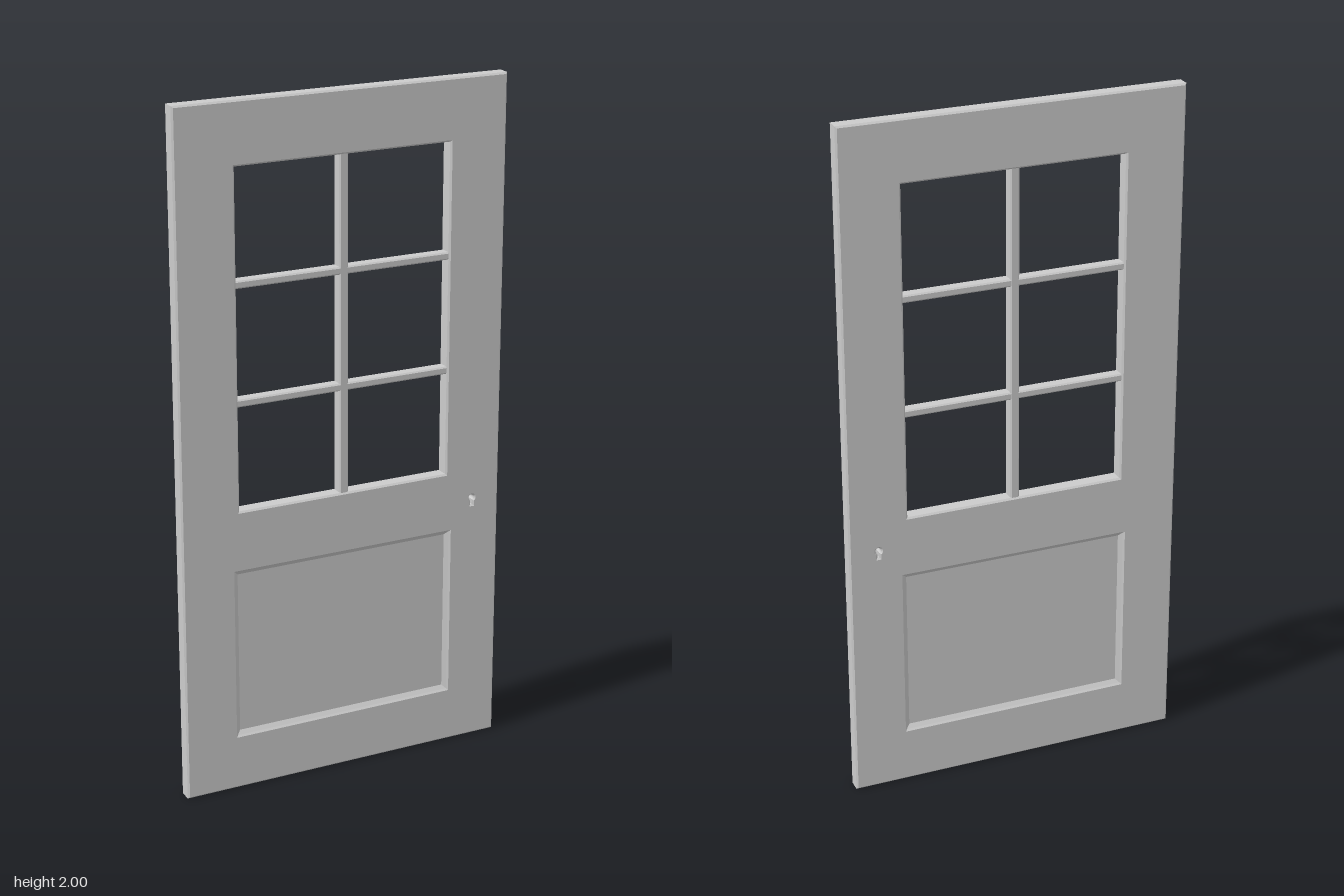
import * as THREE from 'three';

const HEIGHT = 2, HALF_W = 0.4985, HALF_T = 0.0228;
const material = new THREE.MeshStandardMaterial({ color: 0xcccccc, side: THREE.DoubleSide });

function rect(target, x0, y0, x1, y1) {
  target.moveTo(x0, y0);
  target.lineTo(x1, y0);
  target.lineTo(x1, y1);
  target.lineTo(x0, y1);
  target.closePath();
  return target;
}

// Flat board of total thickness 2 * halfT whose face edges are chamfered inside its outline
function board(name, x0, y0, x1, y1, halfT, chamfer, chamferDepth, holes = []) {
  const shape = rect(new THREE.Shape(), x0, y0, x1, y1);
  shape.holes.push(...holes);
  const depth = 2 * (halfT - chamferDepth);
  const geometry = new THREE.ExtrudeGeometry(shape, {
    depth, curveSegments: 12, bevelEnabled: true, bevelSegments: 1,
    bevelSize: chamfer, bevelOffset: -chamfer, bevelThickness: chamferDepth,
  });
  geometry.translate(0, 0, -depth / 2);
  const mesh = new THREE.Mesh(geometry, material);
  mesh.name = name;
  return mesh;
}

// Round eye with a slot hanging below it
function keyholePath(x, y, r, slotHalf, slotBottom) {
  const a = Math.asin(slotHalf / r);
  const path = new THREE.Path();
  path.moveTo(x - slotHalf, slotBottom);
  path.lineTo(x + slotHalf, slotBottom);
  path.absarc(x, y, r, -Math.PI / 2 + a, 1.5 * Math.PI - a, false);
  path.closePath();
  return path;
}

export function createModel() {
  const model = new THREE.Group();
  model.name = 'door';
  const leaf = new THREE.Group();
  leaf.name = 'doorLeaf';
  leaf.rotation.y = Math.PI / 4; // the leaf stands diagonally
  model.add(leaf);

  // Stiles and rails with the glazing opening, panel opening and keyhole
  const win = { x: 0.324, y0: 0.851, y1: 1.823 };
  const pan = { x: 0.339, y0: 0.165, y1: 0.67 };
  leaf.add(board('doorFrame', -HALF_W, 0, HALF_W, HEIGHT, HALF_T, 0.005, 0.005, [
    rect(new THREE.Path(), -win.x, win.y0, win.x, win.y1),
    rect(new THREE.Path(), -pan.x, pan.y0, pan.x, pan.y1),
    keyholePath(0.412, 0.764, 0.008, 0.003, 0.742),
  ]));

  // Glazing bars: one upright and two crossbars
  const lap = 0.01;
  leaf.add(board('uprightGlazingBar', -0.0135, win.y0 - lap, 0.0135, win.y1 + lap, 0.0185, 0.004, 0.004));
  for (const y of [1.164, 1.499]) {
    leaf.add(board('crossGlazingBar', -win.x - lap, y - 0.011, win.x + lap, y + 0.011, 0.018, 0.004, 0.004));
  }

  // Sloped moulding around the recessed lower panel, the same on both faces
  const slope = 0.011;
  leaf.add(board('panelMoulding', -pan.x - 0.014, pan.y0 - 0.014, pan.x + 0.014, pan.y1 + 0.014,
    HALF_T - 0.005, slope, 0.009, [
      rect(new THREE.Path(), -pan.x + slope, pan.y0 + slope, pan.x - slope, pan.y1 - slope),
    ]));
  const panel = new THREE.Mesh(
    new THREE.BoxGeometry(2 * pan.x - 0.02, pan.y1 - pan.y0 - 0.02, 0.0178), material);
  panel.position.y = (pan.y0 + pan.y1) / 2;
  panel.name = 'lowerPanel';
  leaf.add(panel);

  return model;
}
